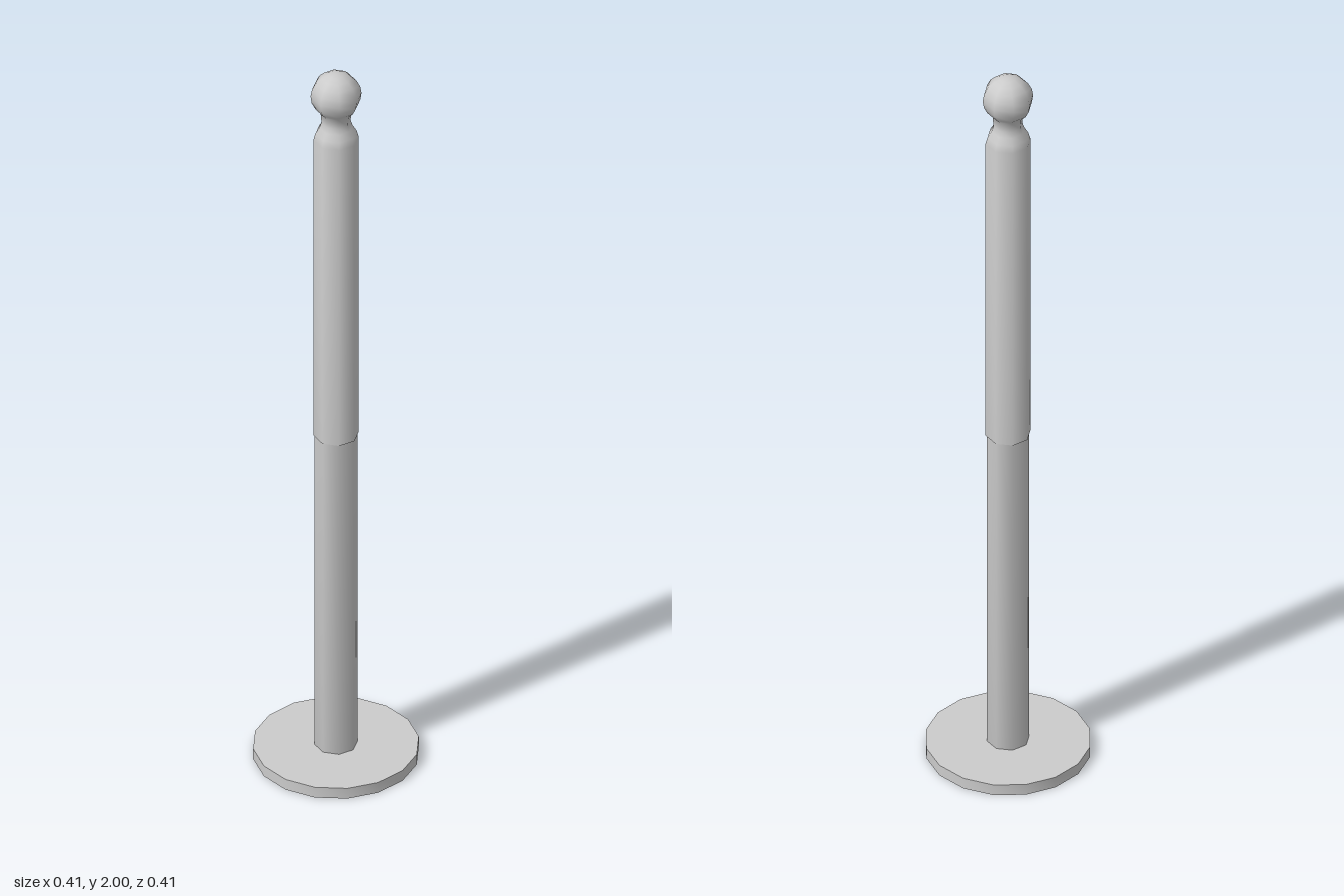
import * as THREE from 'three';
import { toCreasedNormals } from 'three/addons/utils/BufferGeometryUtils.js';

const material = new THREE.MeshStandardMaterial({ color: 0xcccccc, side: THREE.DoubleSide });

// Turned part from [radius, height] pairs, listed from bottom to top on the outside
function turned(name, points, sides, crease) {
  const profile = points.map(([r, y]) => new THREE.Vector2(r, y));
  const geometry = toCreasedNormals(new THREE.LatheGeometry(profile, sides), crease);
  const mesh = new THREE.Mesh(geometry, material);
  mesh.name = name;
  return mesh;
}

export function createModel() {
  const group = new THREE.Group();
  group.name = 'post';

  // Flat round foot with a bore through the middle
  group.add(turned('base', [
    [0.046, 0], [0.205, 0], [0.205, 0.03], [0.046, 0.03],
  ], 16, 0.6));

  // Hollow lower tube, seen from beneath through the bore
  group.add(turned('lowerTube', [
    [0.046, 0.95], [0.046, 0], [0.053, 0.03], [0.053, 0.95],
  ], 8, 0.9));

  // Slightly wider upper sleeve, rounded shoulder, neck and ball finial
  const upper = [
    [0.053, 0.94], [0.056, 0.94], [0.056, 1.81], [0.051, 1.828],
    [0.041, 1.845], [0.036, 1.86],
  ];
  const ballRadius = 0.063, ballY = 2 - ballRadius, steps = 8;
  const start = -0.92;
  for (let i = 0; i <= steps; i++) {
    const a = start + (Math.PI / 2 - start) * (i / steps);
    upper.push([Math.max(0, ballRadius * Math.cos(a)), ballY + ballRadius * Math.sin(a)]);
  }
  group.add(turned('upperTubeAndFinial', upper, 8, 1.2));

  return group;
}
